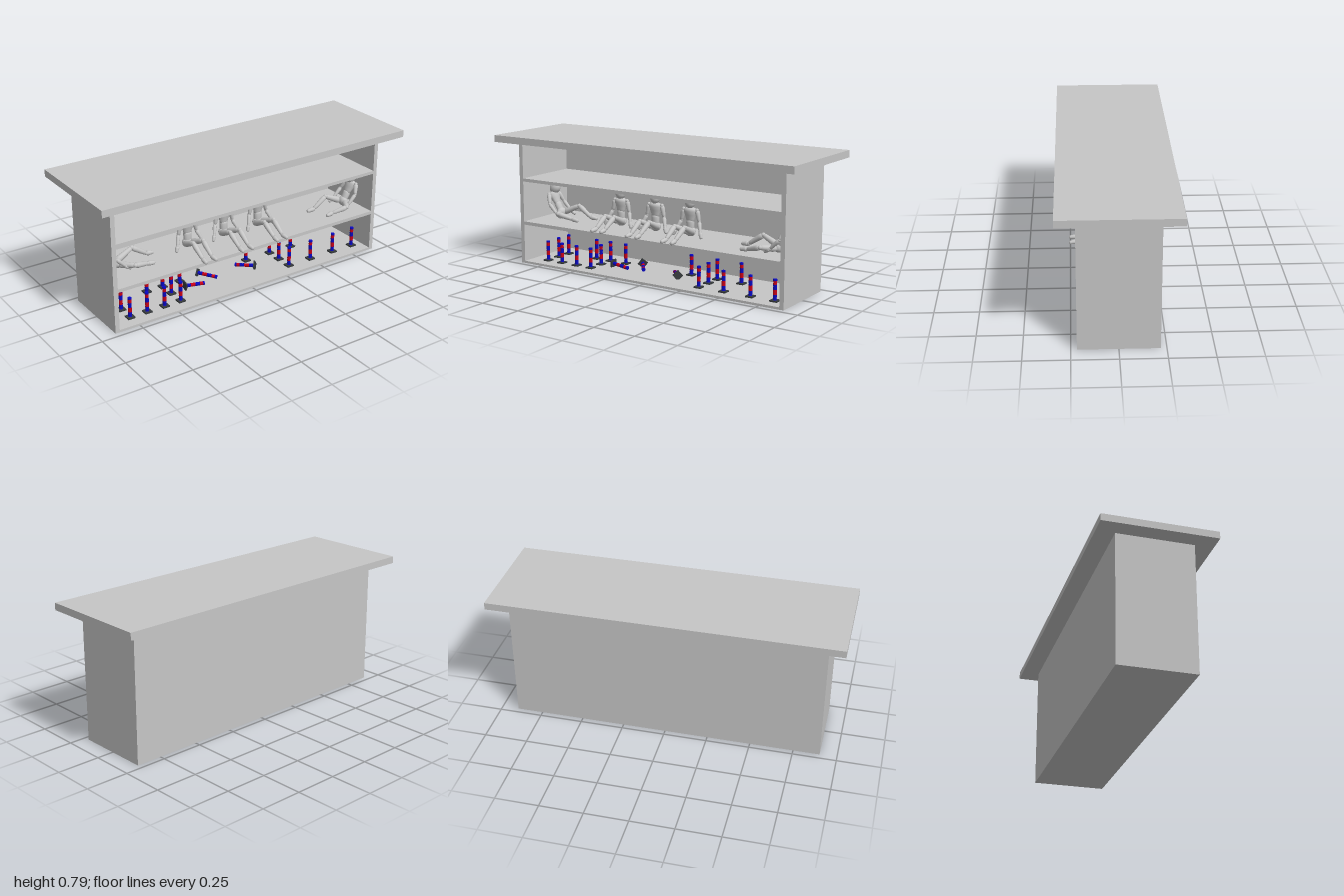
import * as THREE from 'three';

const mat = (name, color) => Object.assign(new THREE.MeshStandardMaterial({ color }), { name });
const V = (x, y, z) => new THREE.Vector3(x, y, z);

export function createModel() {
  const grey = mat('matt grey', 0xc6c6c6);
  const red = mat('stripe red', 0xd00018);
  const blue = mat('stripe blue', 0x0808c8);
  const dark = mat('base charcoal', 0x363a3c);

  const model = new THREE.Group();
  model.name = 'displayCounter';

  function add(parent, name, geometry, material, x = 0, y = 0, z = 0) {
    const mesh = new THREE.Mesh(geometry, material);
    mesh.name = name;
    mesh.position.set(x, y, z);
    parent.add(mesh);
    return mesh;
  }
  function group(parent, name, x = 0, y = 0, z = 0) {
    const g = new THREE.Group();
    g.name = name;
    g.position.set(x, y, z);
    parent.add(g);
    return g;
  }

  // Cabinet: a frame with three open bays, a back panel and an overhanging top
  const rect = (P, x, y0, y1) => {
    const p = new P();
    p.moveTo(-x, y0);
    p.lineTo(x, y0);
    p.lineTo(x, y1);
    p.lineTo(-x, y1);
    p.closePath();
    return p;
  };
  const frame = rect(THREE.Shape, 0.902, 0, 0.75);
  for (const [y0, y1] of [[0.013, 0.24], [0.26, 0.506], [0.525, 0.738]]) {
    frame.holes.push(rect(THREE.Path, 0.876, y0, y1));
  }
  add(model, 'cabinetFrame', new THREE.ExtrudeGeometry(frame, { depth: 0.416, bevelEnabled: false }), grey, 0, 0, -0.198);
  add(model, 'backPanel', new THREE.BoxGeometry(1.804, 0.75, 0.02), grey, 0, 0.375, -0.208);
  add(model, 'counterTop', new THREE.BoxGeometry(2, 0.041, 0.646), grey, 0, 0.7695, 0);

  // Striped posts: a twisted cylinder, half its strips red and half blue
  const H = 0.115, RAD = 12, ROWS = 24;
  const tube = new THREE.CylinderGeometry(0.011, 0.011, H, RAD, ROWS, true);
  const pos = tube.attributes.position;
  for (let i = 0; i < pos.count; i++) {
    const v = V().fromBufferAttribute(pos, i).applyAxisAngle(V(0, 1, 0), (pos.getY(i) / H) * Math.PI * 6);
    pos.setXYZ(i, v.x, v.y, v.z);
  }
  tube.computeVertexNormals();
  const half = (first) => {
    const g = tube.clone();
    const index = Array.from(tube.index.array);
    // each quad belongs to one strip around the post
    g.setIndex(index.filter((_, i) => ((Math.floor(i / 6) % RAD) < RAD / 2) === first));
    return g;
  };
  const redHalf = half(true), blueHalf = half(false);
  const cap = new THREE.CylinderGeometry(0.0112, 0.0112, 0.01, RAD);
  const plate = new THREE.BoxGeometry(0.044, 0.008, 0.044);

  function post(x, y, z) {
    const g = group(model, 'stripedPost', x, y, z);
    add(g, 'postBase', plate, dark, 0, 0.004, 0);
    add(g, 'redStripe', redHalf, red, 0, 0.008 + H / 2, 0);
    add(g, 'blueStripe', blueHalf, blue, 0, 0.008 + H / 2, 0);
    add(g, 'postCap', cap, blue, 0, 0.008 + H - 0.004, 0);
    return g;
  }
  const F = 0.132, M = 0.03, B = -0.066;
  const columns = [
    [-0.763, [F, M, B]], [-0.655, [F]], [-0.543, [F, B]], [-0.437, [F, M, B]], [-0.322, [B]],
    [0.148, [B]], [0.323, [F, M, B]], [0.483, [F, B]], [0.653, [F]], [0.803, [F]],
  ];
  for (const [x, rows] of columns) for (const z of rows) post(x, 0.013, z);

  // Toppled posts, lying on the edge of their base
  const toppled = [
    [V(-0.348, 0.035, 0.03), V(-0.235, 0.026, 0.046)],
    [V(-0.2, 0.035, -0.07), V(-0.125, 0.026, 0.03)],
    [V(0.132, 0.036, 0.054), V(0.05, 0.026, -0.04)],
  ];
  for (const [a, b] of toppled) {
    const g = post(a.x, a.y, a.z);
    g.name = 'toppledPost';
    g.quaternion.setFromUnitVectors(V(0, 1, 0), b.sub(a).normalize());
  }

  // Jointed figures made of rounded, tapered segments and ball joints
  function limb(parent, name, a, b, r0, r1, depth = 1) {
    const len = a.distanceTo(b);
    const profile = [[0, 0], [0.6 * r0, 0.03], [0.92 * r0, 0.1], [r0, 0.25], [(r0 + r1) / 2, 0.5],
      [r1, 0.75], [0.92 * r1, 0.9], [0.6 * r1, 0.97], [0, 1]];
    const geo = new THREE.LatheGeometry(profile.map(([r, t]) => new THREE.Vector2(r, t * len)), 12);
    geo.scale(1, 1, depth);
    const mesh = add(parent, name, geo, grey, a.x, a.y, a.z);
    mesh.quaternion.setFromUnitVectors(V(0, 1, 0), b.clone().sub(a).normalize());
    return mesh;
  }
  const ballGeo = new THREE.SphereGeometry(1, 12, 8);
  function ball(parent, name, p, rx, ry = rx, rz = rx) {
    const mesh = add(parent, name, ballGeo, grey, p.x, p.y, p.z);
    mesh.scale.set(rx, ry, rz);
    return mesh;
  }
  function chain(parent, names, points, radii) {
    names.forEach((n, i) => {
      limb(parent, n, points[i], points[i + 1], radii[i], radii[i] * 0.78);
      ball(parent, n + 'Joint', points[i], radii[i] * 0.8);
    });
  }

  // lean: backward tilt of the upper body; foldSide: which leg lies folded on the shelf
  function figure(x, z, turn, lean = 0, foldSide = 0) {
    const g = group(model, 'jointedFigure', x, 0.26, z);
    g.rotation.y = turn;
    ball(g, 'pelvis', V(0, 0.034, 0), 0.034, 0.03, 0.026);

    const upper = group(g, 'upperBody', 0, 0.034, 0);
    upper.rotation.x = -lean;
    limb(upper, 'abdomen', V(0, 0.005, 0), V(0, 0.07, 0), 0.024, 0.025, 0.8);
    limb(upper, 'chest', V(0, 0.05, 0), V(0, 0.14, 0), 0.027, 0.042, 0.66);
    limb(upper, 'neck', V(0, 0.125, 0), V(0, 0.16, 0), 0.011, 0.011);
    const head = group(upper, 'headPivot', 0, 0.145, 0);
    head.rotation.x = lean * 2.4;
    ball(head, 'head', V(0, 0.028, 0.004), 0.031, 0.04, 0.034);

    const shoulder = V(0, 0.126, 0).applyAxisAngle(V(1, 0, 0), -lean).add(V(0, 0.034, 0));
    for (const s of [-1, 1]) {
      const sh = V(s * 0.045, shoulder.y, shoulder.z);
      const arm = lean
        ? [sh, V(s * 0.068, 0.09, -0.035), V(s * 0.07, 0.035, 0.02), V(s * 0.068, 0.014, 0.055)]
        : [sh, V(s * 0.06, 0.092, 0.0), V(s * 0.082, 0.038, 0.025), V(s * 0.096, 0.006, 0.035)];
      chain(g, ['upperArm', 'forearm', 'hand'], arm, [0.014, 0.012, 0.012]);

      const leg = s === foldSide
        ? [V(s * 0.022, 0.03, 0.005), V(s * 0.105, 0.045, 0.06), V(s * 0.08, 0.02, 0.15), V(s * 0.082, 0.014, 0.195)]
        : [V(s * 0.02, 0.03, 0.005), V(s * 0.032, 0.08, 0.115), V(s * 0.03, 0.02, 0.205), V(s * 0.034, 0.014, 0.252)];
      chain(g, ['thigh', 'shin', 'foot'], leg, [0.019, 0.016, 0.014]);
    }
  }
  for (const x of [-0.305, -0.058, 0.182]) figure(x, 0.002, 0);
  figure(-0.762, 0.0, Math.PI / 2, 0.48, -1);
  figure(0.785, 0.06, -Math.PI / 2, 0.48, 1);

  return model;
}
